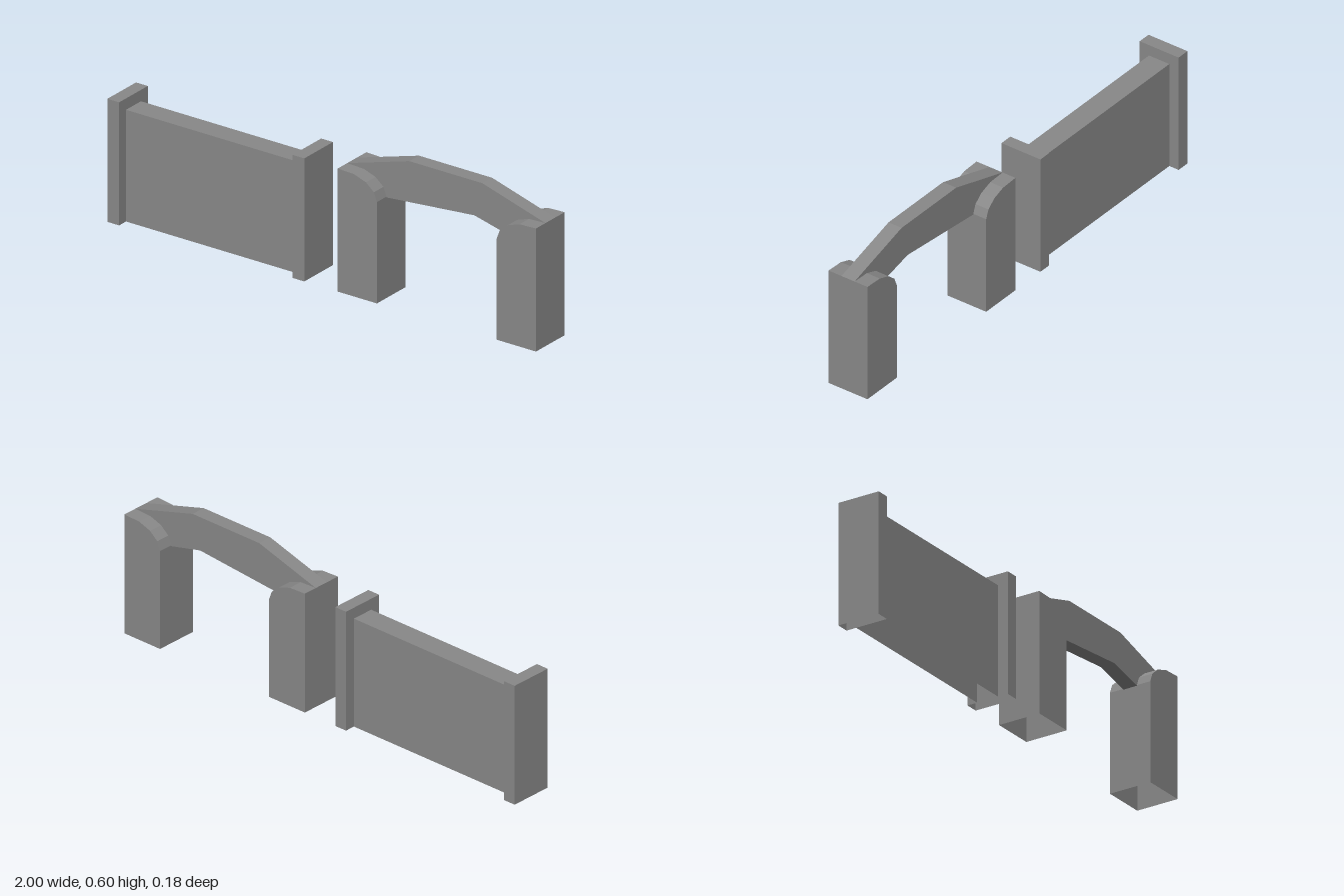
import * as THREE from 'three';

// Extrudes an outline centred on z = 0 and leaves the underside at y = 0 open
function slab(points, depth) {
  const shape = new THREE.Shape(points.map(([x, y]) => new THREE.Vector2(x, y)));
  const geo = new THREE.ExtrudeGeometry(shape, { depth, bevelEnabled: false });
  geo.translate(0, 0, -depth / 2);
  const p = geo.attributes.position;
  const kept = [];
  for (let i = 0; i < p.count; i += 3) {
    if (Math.max(p.getY(i), p.getY(i + 1), p.getY(i + 2)) > 0.001) {
      for (let k = i; k < i + 3; k++) kept.push(p.getX(k), p.getY(k), p.getZ(k));
    }
  }
  const open = new THREE.BufferGeometry();
  open.setAttribute('position', new THREE.Float32BufferAttribute(kept, 3));
  open.computeVertexNormals();
  return open;
}

const rect = (x0, x1, h) => [[x0, 0], [x1, 0], [x1, h], [x0, h]];

export function createModel() {
  const model = new THREE.Group();
  const stone = new THREE.MeshStandardMaterial({ color: 0x888888, side: THREE.DoubleSide });
  stone.name = 'grey stone';

  const add = (parent, name, points, depth) => {
    const mesh = new THREE.Mesh(slab(points, depth), stone);
    mesh.name = name;
    parent.add(mesh);
  };

  // Straight wall between two end posts
  const wall = new THREE.Group();
  wall.name = 'wall';
  add(wall, 'wallPanel', rect(-0.945, -0.136, 0.463), 0.096);
  add(wall, 'rightPost', rect(-1, -0.945, 0.51), 0.184);
  add(wall, 'leftPost', rect(-0.136, -0.081, 0.51), 0.184);

  // Pillars with a rounded inner shoulder, mirrored about the arch centre
  const arch = new THREE.Group();
  arch.name = 'arch';
  const centre = 0.5375;
  const mirror = (pts) => pts.map(([x, y]) => [2 * centre - x, y]).reverse();
  const shoulder = [[0.258, 0.42], [0.244, 0.457], [0.207, 0.488], [0.152, 0.507], [0.075, 0.51]];
  const pillar = [[0.075, 0], [0.258, 0], ...shoulder];
  add(arch, 'rightPillar', pillar, 0.184);
  add(arch, 'leftPillar', mirror(pillar), 0.184);

  // Narrow beam resting on both shoulders, sunk a hair into them
  const seat = shoulder.map(([x, y]) => [x, y - 0.003]);
  add(arch, 'beam', [
    ...seat.slice().reverse(),
    [0.668, 0.453],
    ...mirror(seat).reverse(),
    [1, 0.51], [0.706, 0.596], [0.365, 0.596], [0.075, 0.51],
  ], 0.062);

  model.add(wall, arch);
  return model;
}
